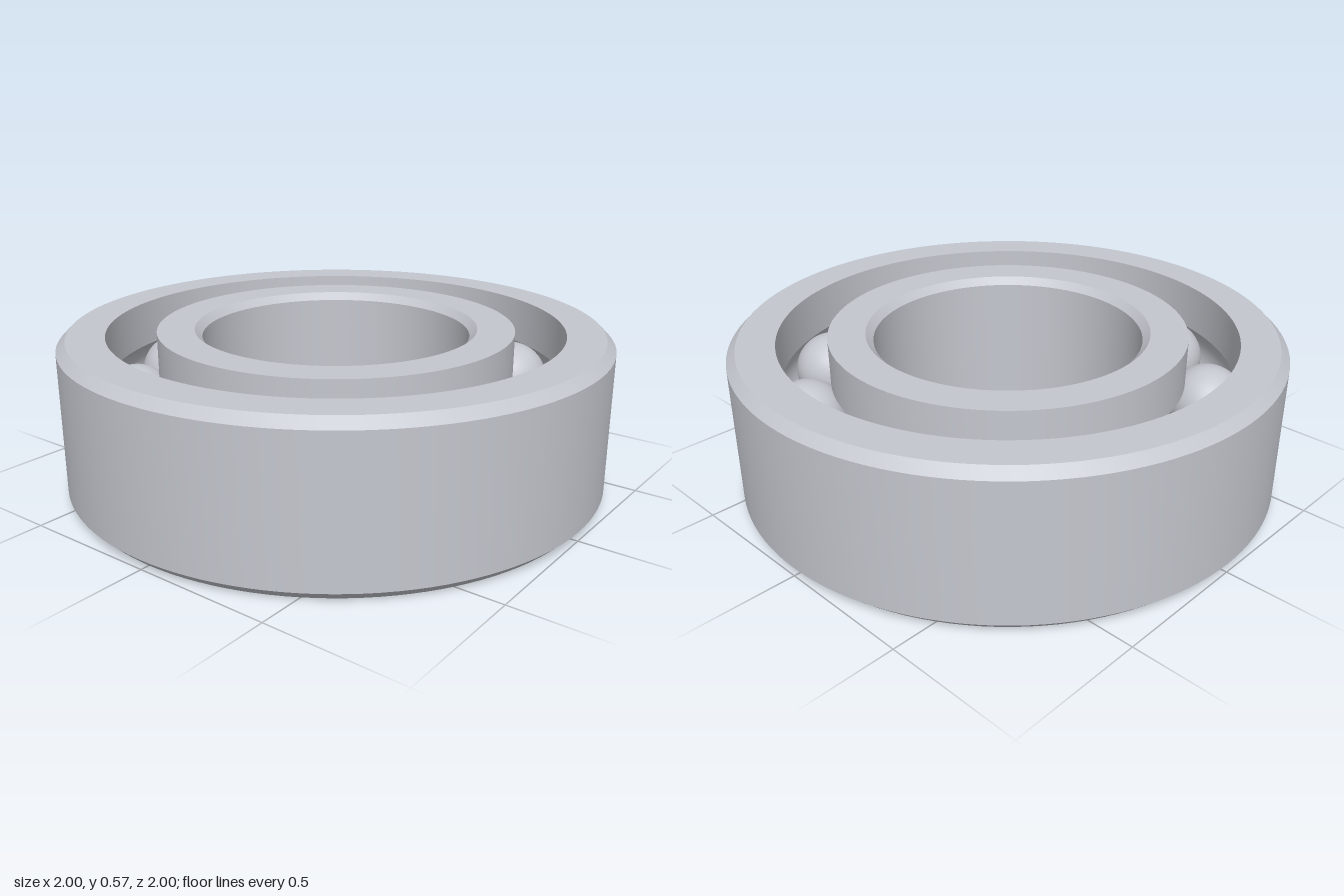
import * as THREE from 'three';
import { toCreasedNormals } from 'three/addons/utils/BufferGeometryUtils.js';

const HEIGHT = 0.575;
const MID = HEIGHT / 2;
const PITCH = 0.74;      // radius of the circle of ball centres
const BALL = 0.143;
const GROOVE = 0.146;
const BALL_COUNT = 11;

// Points of a ball groove, cut where its arc meets the ring wall
function groove(wallRadius, from, direction) {
  const half = Math.acos(Math.abs(wallRadius - PITCH) / GROOVE);
  const points = [];
  for (let i = 0; i <= 16; i++) {
    const a = from + direction * half * (1 - i / 8);
    points.push([PITCH + GROOVE * Math.cos(a), MID + GROOVE * Math.sin(a)]);
  }
  return points;
}

// Revolves a closed counter-clockwise profile, keeping its edges sharp
function ring(name, profile, material) {
  const points = [...profile, profile[0]].map(([r, y]) => new THREE.Vector2(r, y));
  const geometry = toCreasedNormals(new THREE.LatheGeometry(points, 128), Math.PI / 6);
  const mesh = new THREE.Mesh(geometry, material);
  mesh.name = name;
  return mesh;
}

export function createModel() {
  const model = new THREE.Group();
  model.name = 'ballBearing';
  const steel = new THREE.MeshStandardMaterial({ color: 0xc4c7ce });
  steel.name = 'steel';

  // Outer ring: chamfered outside, grooved inside
  model.add(ring('outerRing', [
    [0.83, 0], [0.967, 0], [1, 0.033], [1, HEIGHT - 0.033], [0.967, HEIGHT], [0.83, HEIGHT],
    ...groove(0.83, 0, 1),
  ], steel));

  // Inner ring: grooved outside, chamfered bore
  model.add(ring('innerRing', [
    [0.65, 0], ...groove(0.65, Math.PI, 1), [0.65, HEIGHT],
    [0.515, HEIGHT], [0.488, HEIGHT - 0.027], [0.488, 0.027], [0.515, 0],
  ], steel));

  // Balls, evenly spaced around the race
  const balls = new THREE.Group();
  balls.name = 'balls';
  const ballGeometry = new THREE.SphereGeometry(BALL, 40, 28);
  for (let i = 0; i < BALL_COUNT; i++) {
    const a = (i / BALL_COUNT) * Math.PI * 2;
    const ball = new THREE.Mesh(ballGeometry, steel);
    ball.name = 'ball';
    ball.position.set(PITCH * Math.cos(a), MID, PITCH * Math.sin(a));
    balls.add(ball);
  }
  model.add(balls);
  return model;
}
